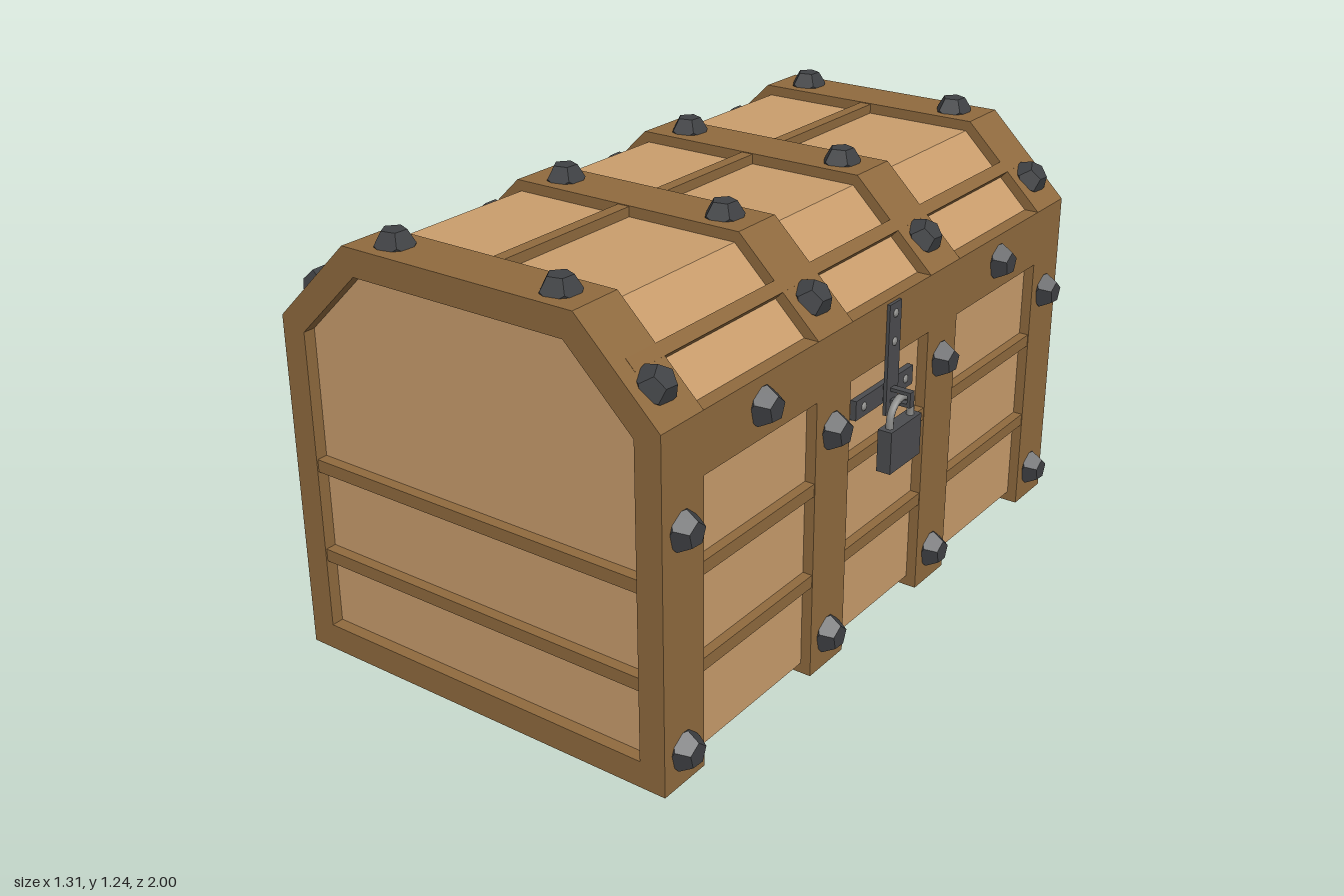
import * as THREE from 'three';

const CX = -0.015; // middle of the chest across its width
const mat = (color) => new THREE.MeshStandardMaterial({ color });
const frameMat = mat(0x8f6a3e), panelMat = mat(0xc99d6c);
const studMat = mat(0x3f4144), ironMat = mat(0x4b4c4f), steelMat = mat(0x8c8c8a);

// Chest outline in x-y, shrunk inwards by d on every side
function outline(d, Type = THREE.Shape) {
  const w = 0.6 - d, t = 0.36 - d * 0.414, s = 0.965 - d * 0.414, top = 1.2 - d;
  return new Type([[-w, d], [w, d], [w, s], [t, top], [-t, top], [-w, s]]
    .map(([x, y]) => new THREE.Vector2(x + CX, y)));
}

function extrude(shape, z0, z1) {
  return new THREE.ExtrudeGeometry(shape, { depth: z1 - z0, bevelEnabled: false }).translate(0, 0, z0);
}

export function createModel() {
  const root = new THREE.Group();
  root.name = 'chest';

  const add = (name, geometry, material, parent = root) => {
    const mesh = new THREE.Mesh(geometry, material);
    mesh.name = name;
    parent.add(mesh);
    return mesh;
  };
  const box = (name, size, pos, material, parent) => {
    const mesh = add(name, new THREE.BoxGeometry(...size), material, parent);
    mesh.position.set(...pos);
    return mesh;
  };

  // Plank body, set back behind the frame
  add('body', extrude(outline(0.03), -0.965, 0.965), panelMat);

  // Open frames at both ends, solid bands in between
  for (const s of [-1, 1]) {
    const ring = outline(0);
    ring.holes.push(outline(0.075, THREE.Path));
    add('endFrame', extrude(ring, s > 0 ? 0.84 : -1, s > 0 ? 1 : -0.84), frameMat);
    add('middleBand', extrude(outline(0), s * 0.28 - 0.08, s * 0.28 + 0.08), frameMat);
  }

  // Thin rails on the sides, ends, slopes and top
  for (const s of [-1, 1]) {
    for (const y of [0.29, 0.556]) {
      box('sideRail', [0.06, 0.036, 1.9], [CX + s * 0.568, y, 0], frameMat);
      box('endRail', [1.08, 0.036, 0.06], [CX, y, s * 0.966], frameMat);
    }
    const slope = box('slopeRail', [0.06, 0.036, 1.9], [CX + s * 0.459, 1.062, 0], frameMat);
    slope.rotation.z = s * Math.PI / 4;
  }
  box('topRail', [0.036, 0.06, 1.9], [CX, 1.168, 0], frameMat);

  // Lid edge board on the lock side
  box('lidBoard', [0.06, 0.165, 1.9], [0.555, 0.8825, 0], frameMat);

  // Faceted studs, one flat face turned outwards
  const up = new THREE.Vector3(0, 1, 0);
  const studGeo = new THREE.DodecahedronGeometry(0.055).applyQuaternion(
    new THREE.Quaternion().setFromUnitVectors(
      new THREE.Vector3(1, 0, (1 + Math.sqrt(5)) / 2).normalize(), up));
  const studs = new THREE.Group();
  studs.name = 'studs';
  root.add(studs);
  const stud = (x, y, z, nx, ny) => {
    const m = add('stud', studGeo, studMat, studs);
    m.position.set(x - nx * 0.003, y - ny * 0.003, z);
    m.quaternion.setFromUnitVectors(up, new THREE.Vector3(nx, ny, 0).normalize());
  };
  for (const z of [-0.92, -0.28, 0.28, 0.92]) {
    for (const s of [-1, 1]) {
      stud(CX + s * 0.6, 0.095, z, s, 0);
      stud(CX + s * 0.6, 0.695, z, s, 0);
      stud(CX + s * 0.527, 1.036, z, s, 1);
      stud(CX + s * 0.26, 1.2, z, 0, 1);
    }
  }
  for (const z of [-0.6, 0.6]) stud(0.585, 0.885, z, 1, 0);

  // Hasp: hanging strap, cross plate and small rivets
  const lock = new THREE.Group();
  lock.name = 'lock';
  root.add(lock);
  box('haspStrap', [0.01, 0.315, 0.06], [0.589, 0.7975, 0], ironMat, lock);
  box('lockPlate', [0.02, 0.056, 0.295], [0.562, 0.692, 0], ironMat, lock);
  const rivetGeo = new THREE.SphereGeometry(0.012, 10, 6).scale(0.5, 1, 1);
  for (const [x, y, z] of [[0.594, 0.925, 0], [0.594, 0.845, 0], [0.572, 0.692, 0.108], [0.572, 0.692, -0.108]]) {
    add('rivet', rivetGeo, steelMat, lock).position.set(x, y, z);
  }

  // Square staple that the shackle passes through
  for (const y of [0.676, 0.71]) box('stapleArm', [0.09, 0.01, 0.022], [0.61, y, 0], ironMat, lock);
  box('stapleEnd', [0.01, 0.044, 0.022], [0.65, 0.693, 0], ironMat, lock);

  // Padlock
  box('padlockBody', [0.042, 0.122, 0.158], [0.621, 0.561, 0], ironMat, lock);
  const arch = [new THREE.Vector3(0.621, 0.6, -0.054)];
  for (let i = 0; i <= 10; i++) {
    const a = Math.PI * i / 10;
    arch.push(new THREE.Vector3(0.621, 0.638 + 0.054 * Math.sin(a), -0.054 * Math.cos(a)));
  }
  arch.push(new THREE.Vector3(0.621, 0.6, 0.054));
  add('shackle', new THREE.TubeGeometry(new THREE.CatmullRomCurve3(arch), 32, 0.011, 8), steelMat, lock);

  return root;
}
